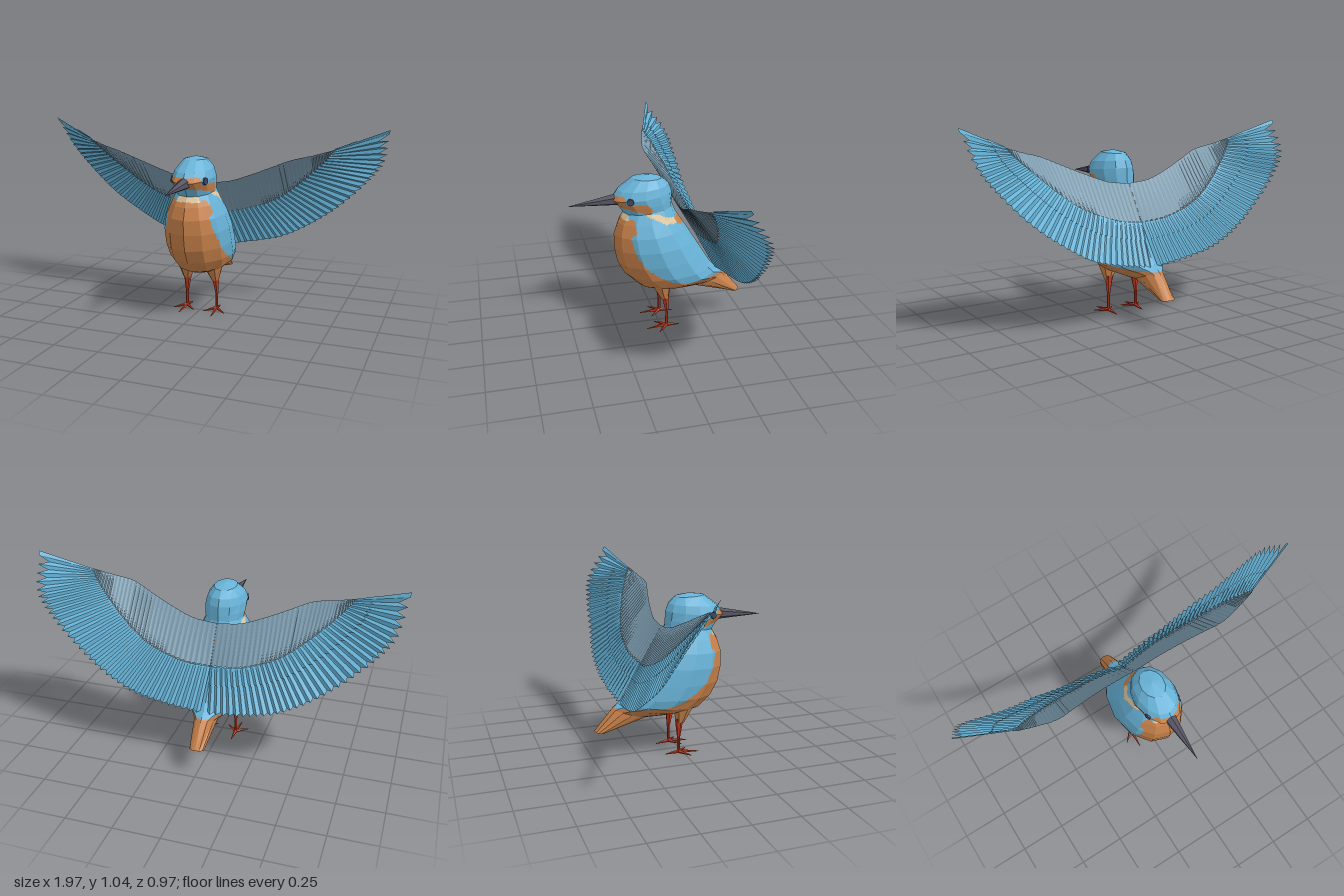
import * as THREE from 'three';

const mat = (name, color, extra = {}) =>
  Object.assign(new THREE.MeshStandardMaterial({ color, flatShading: true, ...extra }), { name });
const V = (x, y, z) => new THREE.Vector3(x, y, z);

function meshFrom(name, points, material) {
  const g = new THREE.BufferGeometry().setFromPoints(points);
  g.computeVertexNormals();
  const m = new THREE.Mesh(g, material);
  m.name = name;
  return m;
}

// Tapered rod between two points
function rod(name, a, b, ra, rb, sides, material) {
  const d = b.clone().sub(a);
  const m = new THREE.Mesh(new THREE.CylinderGeometry(rb, ra, d.length(), sides), material);
  m.position.copy(a).addScaledVector(d, 0.5);
  m.quaternion.setFromUnitVectors(V(0, 1, 0), d.normalize());
  m.name = name;
  return m;
}

// Head and body sections, crown to tail: front z, front y, back z, back y, half width
const SECTIONS = [
  [0.06, 0.902, 0.06, 0.902, 0], [0.145, 0.89, -0.02, 0.885, 0.062],
  [0.225, 0.83, -0.058, 0.85, 0.098], [0.262, 0.78, -0.075, 0.81, 0.112],
  [0.215, 0.735, -0.078, 0.765, 0.11], [0.193, 0.70, -0.08, 0.73, 0.105],
  [0.225, 0.645, -0.10, 0.68, 0.13], [0.247, 0.58, -0.15, 0.605, 0.162],
  [0.247, 0.50, -0.20, 0.525, 0.18], [0.23, 0.41, -0.255, 0.435, 0.182],
  [0.19, 0.335, -0.305, 0.355, 0.176], [0.12, 0.267, -0.335, 0.322, 0.155],
  [0.03, 0.237, -0.35, 0.312, 0.125], [-0.09, 0.225, -0.365, 0.303, 0.09],
  [-0.19, 0.222, -0.385, 0.288, 0.062], [-0.43, 0.157, -0.484, 0.165, 0.04],
  [-0.46, 0.158, -0.46, 0.158, 0],
];

// Plumage patches in side profile (z, y); later patches cover earlier ones
const PATCHES = [
  ['orange', [[0.4, 0.67], [0.15, 0.68], [0.14, 0.62], [0.175, 0.585], [0.15, 0.5], [0.10, 0.42], [0.04, 0.37],
    [-0.05, 0.32], [-0.15, 0.30], [-0.375, 0.292], [-0.6, 0.3], [-0.6, 0], [0.4, 0]]],
  ['cream', [[0.3, 0.71], [0.175, 0.70], [0.175, 0.672], [0.3, 0.672]]],
  ['orange', [[0.3, 0.80], [0.2, 0.81], [0.185, 0.765], [0.08, 0.77], [0.05, 0.74], [0.06, 0.69],
    [0.10, 0.72], [0.18, 0.738], [0.3, 0.755]]],
  ['cream', [[0.11, 0.715], [0.03, 0.71], [-0.03, 0.685], [-0.09, 0.668], [-0.09, 0.64], [-0.02, 0.652], [0.05, 0.688]]],
  ['orange', [[-0.07, 0.672], [-0.13, 0.672], [-0.18, 0.64], [-0.13, 0.62], [-0.09, 0.638]]],
];
function inside(poly, z, y) {
  let hit = false;
  poly.forEach(([z1, y1], i) => {
    const [z2, y2] = poly[(i + 1) % poly.length];
    if ((y1 > y) !== (y2 > y) && z < ((z2 - z1) * (y - y1)) / (y2 - y1) + z1) hit = !hit;
  });
  return hit;
}
const patchAt = (p) => PATCHES.reduce((c, [name, poly]) => (inside(poly, p.z, p.y) ? name : c), 'blue');

// Loft of flat facets, each cut finely so the plumage edges stay crisp
function buildBody(mats) {
  const SIDES = 12, CUT = 7;
  const bins = { blue: [], orange: [], cream: [] };
  const rings = SECTIONS.map(([fz, fy, bz, by, w]) => Array.from({ length: SIDES }, (_, j) => {
    const a = (j / SIDES) * Math.PI * 2, c = Math.cos(a) / 2;
    return V(w * Math.sin(a), (fy + by) / 2 + (fy - by) * c, (fz + bz) / 2 + (fz - bz) * c);
  }));
  const facet = (a, b, c) => {
    if (b.clone().sub(a).cross(c.clone().sub(a)).length() < 1e-7) return;
    const at = (i, j) => a.clone().addScaledVector(b.clone().sub(a), i / CUT).addScaledVector(c.clone().sub(a), j / CUT);
    const put = (...t) => bins[patchAt(t[0].clone().add(t[1]).add(t[2]).divideScalar(3))].push(...t);
    for (let i = 0; i < CUT; i++) for (let j = 0; i + j < CUT; j++) {
      put(at(i, j), at(i + 1, j), at(i, j + 1));
      if (i + j < CUT - 1) put(at(i + 1, j), at(i + 1, j + 1), at(i, j + 1));
    }
  };
  for (let i = 0; i < rings.length - 1; i++) for (let j = 0; j < SIDES; j++) {
    const k = (j + 1) % SIDES, u = rings[i], l = rings[i + 1];
    facet(u[j], l[j], u[k]);
    facet(u[k], l[j], l[k]);
  }
  const body = new THREE.Group();
  body.name = 'body';
  for (const key in bins) body.add(meshFrom(key + 'Plumage', bins[key], mats[key]));
  return body;
}

// Wing guide curves, shoulder to tip
const curve = (pts) => new THREE.CatmullRomCurve3(pts.map((p) => V(...p)));
const LEAD = curve([[0, 0.73, -0.10], [0.13, 0.745, -0.098], [0.26, 0.79, -0.08], [0.38, 0.84, -0.055],
  [0.5, 0.89, -0.03], [0.6, 0.915, -0.045], [0.67, 0.935, -0.06], [0.71, 0.947, -0.07]]);
const MID = curve([[0, 0.53, -0.22], [0.14, 0.55, -0.24], [0.27, 0.59, -0.235], [0.38, 0.64, -0.22],
  [0.49, 0.72, -0.19], [0.59, 0.81, -0.15], [0.67, 0.89, -0.11], [0.72, 0.95, -0.075]]);
const TRAIL = curve([[0.02, 0.31, -0.345], [0.2, 0.34, -0.362], [0.38, 0.385, -0.368], [0.54, 0.47, -0.365],
  [0.70, 0.585, -0.338], [0.85, 0.73, -0.318], [0.95, 0.86, -0.285], [0.985, 1.05, -0.155]]);
const WING_UP = V(-0.21, 0.485, -0.85);

// Pleated strip of feathers between two curves
function feathers(name, side, from, to, reach, pleat, lift, notch, material) {
  const N = 34, pts = [];
  const column = (i) => {
    const t = i / (2 * N), ridge = i % 2 === 1 || i === 2 * N;
    const a = from.getPoint(t), b = to.getPoint(t);
    const end = a.clone().lerp(b, reach * (ridge ? 1 : 1 - notch * (1 + 2.5 * t ** 4)));
    const h = lift + (ridge ? pleat : -pleat);
    a.addScaledVector(WING_UP, lift + (ridge ? pleat : -pleat) * 0.5);
    end.addScaledVector(WING_UP, h);
    a.x = Math.max(a.x, 0) * side;
    end.x = Math.max(end.x, 0) * side;
    return [a, end];
  };
  for (let i = 0; i < 2 * N; i++) {
    const [a, b] = column(i), [c, d] = column(i + 1);
    if (side > 0) pts.push(a, c, b, c, d, b);
    else pts.push(a, b, c, c, b, d);
  }
  return meshFrom(name, pts, material);
}

function buildWing(side, mats) {
  const wing = new THREE.Group();
  wing.name = side > 0 ? 'leftWing' : 'rightWing';
  wing.add(
    feathers('coverts', side, LEAD, MID, 1, 0.002, 0, 0.03, mats.greyWing),
    feathers('flightFeathers', side, MID, TRAIL, 1, 0.006, 0, 0.06, mats.blueWing),
    feathers('secondRow', side, MID, TRAIL, 0.4, 0.004, 0.006, 0.08, mats.blueWing),
  );
  return wing;
}

function buildLeg(side, mats) {
  const leg = new THREE.Group();
  leg.name = side > 0 ? 'leftLeg' : 'rightLeg';
  const P = (x, y, z) => V(x * side, y, z);
  const ankle = P(0.09, 0.024, -0.03);
  leg.add(
    rod('thigh', P(0.075, 0.31, 0), P(0.085, 0.193, -0.02), 0.07, 0.022, 7, mats.orange),
    rod('shin', P(0.083, 0.215, -0.024), P(0.09, 0.11, -0.03), 0.024, 0.009, 6, mats.red),
    rod('tarsus', P(0.09, 0.115, -0.03), ankle, 0.008, 0.008, 6, mats.red),
  );
  const toes = [[0.152, 0.015, 0.025], [0.095, 0.012, 0.086], [0.03, 0.016, 0.03], [0.085, 0.014, -0.105]];
  toes.forEach((t) => leg.add(rod('toe', ankle, P(...t), 0.011, 0.002, 5, mats.red)));
  return leg;
}

export function createModel() {
  const two = { side: THREE.DoubleSide };
  const mats = {
    blue: mat('blue plumage', 0x68b3d8),
    blueWing: mat('wing blue', 0x66b2d6, two),
    greyWing: mat('covert grey', 0x7898ab, two),
    orange: mat('orange plumage', 0xc8814a),
    cream: mat('cream patch', 0xdfc8a0),
    dark: mat('beak grey', 0x575563),
    eye: mat('eye', 0x45465f),
    red: mat('leg red', 0xc03a1e),
  };
  const bird = new THREE.Group();
  bird.name = 'bird';
  bird.add(buildBody(mats));

  // Beak
  bird.add(rod('beak', V(0, 0.777, 0.225), V(0, 0.757, 0.485), 0.034, 0.001, 6, mats.dark));

  for (const side of [1, -1]) {
    bird.add(buildWing(side, mats), buildLeg(side, mats));
    // Eye disc facing outward from the cheek
    const out = V(0.95 * side, 0.05, 0.31), at = V(0.094 * side, 0.786, 0.17);
    bird.add(rod('eye', at.clone().addScaledVector(out, -0.006), at.clone().addScaledVector(out, 0.006), 0.021, 0.018, 10, mats.eye));
  }
  return bird;
}
